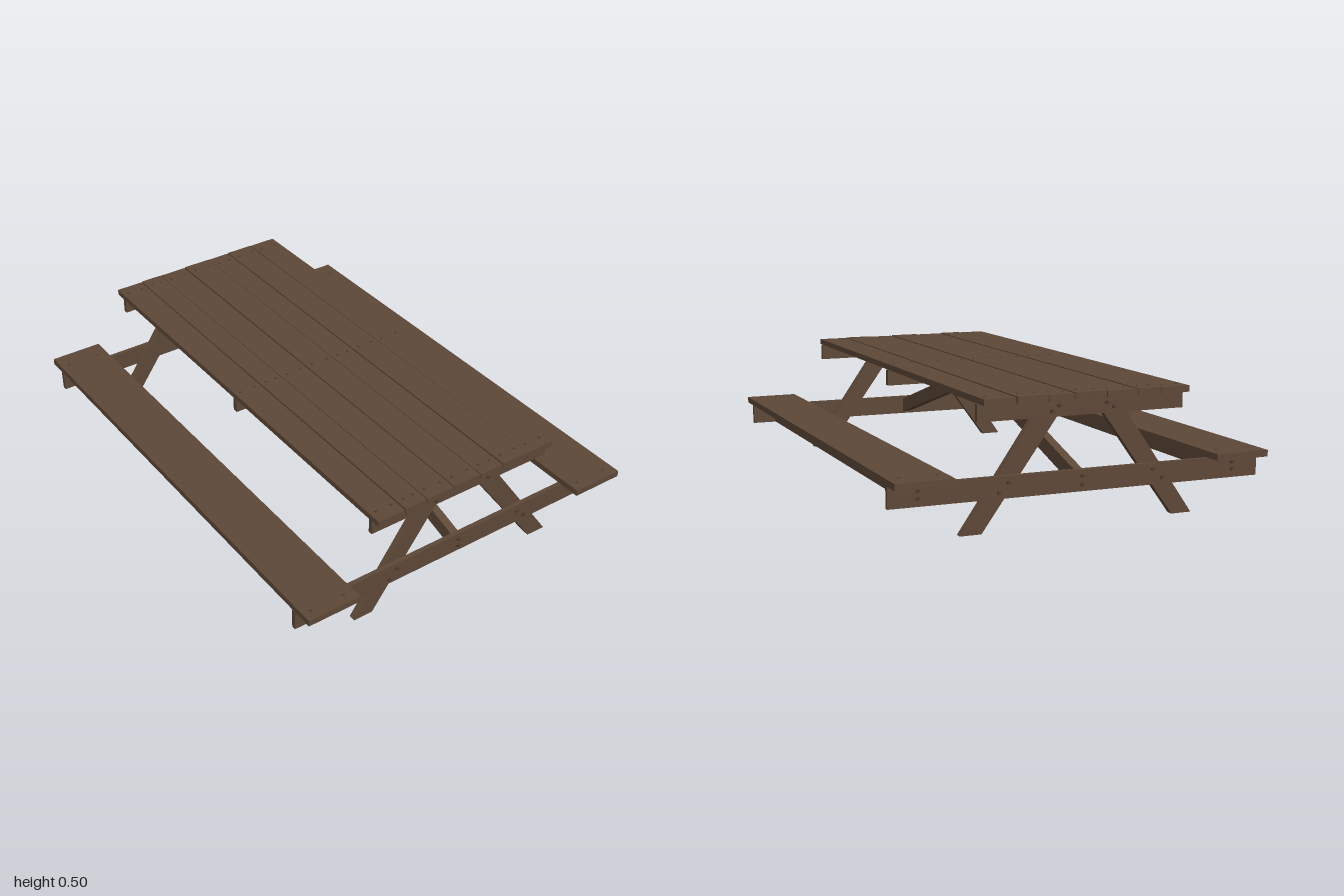
import * as THREE from 'three';

export function createModel() {
  const group = new THREE.Group();
  const wood = new THREE.MeshStandardMaterial({ color: 0x5e4837 });
  wood.name = 'brown wood';
  const metal = new THREE.MeshStandardMaterial({ color: 0x4e3b2d });
  metal.name = 'dark bolt';

  const add = (name, geometry, material = wood) => {
    const mesh = new THREE.Mesh(geometry, material);
    mesh.name = name;
    group.add(mesh);
    return mesh;
  };

  // Board given by its min and max on each axis
  const board = (name, x0, x1, y0, y1, z0, z1) => {
    const mesh = add(name, new THREE.BoxGeometry(x1 - x0, y1 - y0, z1 - z0));
    mesh.position.set((x0 + x1) / 2, (y0 + y1) / 2, (z0 + z1) / 2);
    return mesh;
  };

  // Slanted board: an outline cut square at its ends, extruded by depth
  const cutBoard = (name, points, depth) => {
    const shape = new THREE.Shape(points.map(([x, y]) => new THREE.Vector2(x, y)));
    return add(name, new THREE.ExtrudeGeometry(shape, { depth, bevelEnabled: false }));
  };

  // Small round heads: upright on the boards, or facing out along z
  const headGeometry = new THREE.CylinderGeometry(0.005, 0.006, 0.004, 8);
  const screw = (x, y, z) => add('screw', headGeometry, metal).position.set(x, y, z);
  const boltGeometry = new THREE.CylinderGeometry(0.007, 0.008, 0.012, 8);
  const bolt = (x, y, z) => {
    const mesh = add('bolt', boltGeometry, metal);
    mesh.rotation.x = Math.sign(z) * Math.PI / 2;
    mesh.position.set(x, y, z);
  };

  // Table top: seven slightly uneven planks
  const edges = [-0.415, -0.295, -0.197, -0.073, 0.053, 0.158, 0.28, 0.405];
  for (let i = 0; i < 7; i++) {
    const x0 = edges[i] + 0.002, x1 = edges[i + 1] - 0.002;
    const lift = (i % 2) * 0.002;
    const plank = board('topPlank', x0, x1, 0.467, 0.49 + lift, -0.969 - i * 0.001, 0.955 - i * 0.001);
    plank.rotation.y = (i % 3 - 1) * 0.0008;
    for (const z of [-0.917, 0.008, 0.903]) {
      for (const x of [x0 + 0.025, x1 - 0.025]) screw(x, 0.491 + lift, z);
    }
  }

  // Benches, each with a rail under its middle
  for (const s of [-1, 1]) {
    board('benchSeat', s * 0.63 - 0.11, s * 0.63 + 0.11, 0.206, 0.231, -1, 1);
    board('benchRail', s * 0.63 - 0.013, s * 0.63 + 0.013, 0.128, 0.206, -0.908, 0.896);
    for (const z of [-0.92, 0.96]) {
      for (const dx of [-0.075, 0.065]) screw(s * 0.63 + dx, 0.232, z);
    }
  }

  // Batten under the middle of the top
  board('middleBatten', -0.41, 0.41, 0.405, 0.467, -0.012, 0.012);

  // End frames: inner face of the cross beams at z
  for (const [s, z] of [[1, 0.894], [-1, -0.908]]) {
    const outer = z + s * 0.018;
    const z0 = Math.min(z, outer), z1 = Math.max(z, outer);
    board('topBatten', -0.41, 0.41, 0.403, 0.467, z0, z1);
    const beam = board('crossBeam', -0.74, 0.74, 0.124, 0.205, z0, z1);
    beam.rotation.z = 0.003;

    for (const m of [-1, 1]) {
      // Splayed leg
      const points = [[0.467, 0], [0.385, 0], [0.045, 0.467], [0.142, 0.467]].map(([x, y]) => [m * x, y]);
      const leg = cutBoard('leg', points, 0.028);
      leg.position.z = s > 0 ? z - 0.028 : z;

      const spots = [[0.095, 0.443], [0.123, 0.425], [0.29, 0.182], [0.327, 0.148], [0.63, 0.182], [0.63, 0.155]];
      for (const [x, y] of spots) bolt(m * x, y, outer + s * 0.002);
    }
    for (const y of [0.182, 0.15]) bolt(0, y, outer + s * 0.002);

    // Diagonal brace from the middle batten down to the cross beam
    const brace = cutBoard('diagonalBrace',
      [[0, 0.405], [0, 0.467], [Math.abs(z), 0.195], [Math.abs(z), 0.133]], 0.034);
    brace.rotation.y = -s * Math.PI / 2;
    brace.position.x = s * 0.017;
  }

  return group;
}
